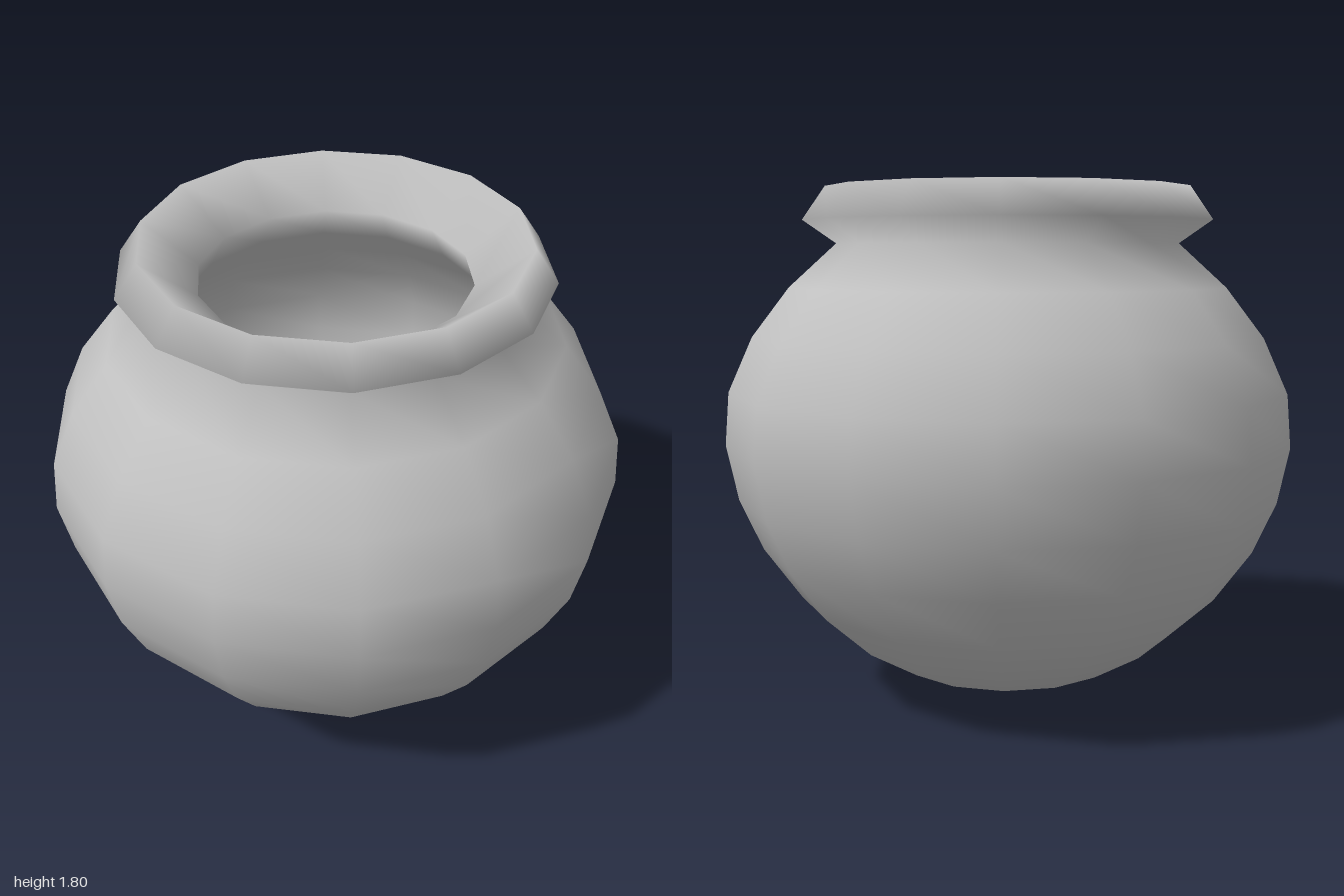
import * as THREE from 'three';

const SIDES = 14;

export function createModel() {
  const group = new THREE.Group();
  group.name = 'pot';
  const clay = new THREE.MeshStandardMaterial({ color: 0xc0c0c0 });
  clay.name = 'grey clay';

  // Rounded outer wall, from the base up to the neck
  const outerWall = [
    [0, 0], [0.2, 0.03], [0.4, 0.1], [0.585, 0.21], [0.75, 0.36], [0.88, 0.54],
    [0.96, 0.72], [1, 0.915], [0.985, 1.1], [0.9, 1.29], [0.77, 1.46], [0.605, 1.61],
  ];
  // Flared rim, sloping inwards to the mouth
  const rim = [[0.72, 1.69], [0.64, 1.805], [0.455, 1.66]];
  // Hollow inside, from the mouth down to the floor
  const innerWall = [
    [0.52, 1.54], [0.67, 1.4], [0.79, 1.24], [0.86, 1.08], [0.875, 0.915],
    [0.84, 0.74], [0.77, 0.58], [0.66, 0.44], [0.51, 0.31], [0.35, 0.21], [0.18, 0.15], [0, 0.13],
  ];

  // One continuous turned shell keeps the shading smooth over neck and rim
  const profile = [...outerWall, ...rim, ...innerWall].map(([r, y]) => new THREE.Vector2(r, y));
  const shell = new THREE.Mesh(new THREE.LatheGeometry(profile, SIDES, Math.PI / 2), clay);
  shell.name = 'potShell';
  group.add(shell);
  return group;
}
